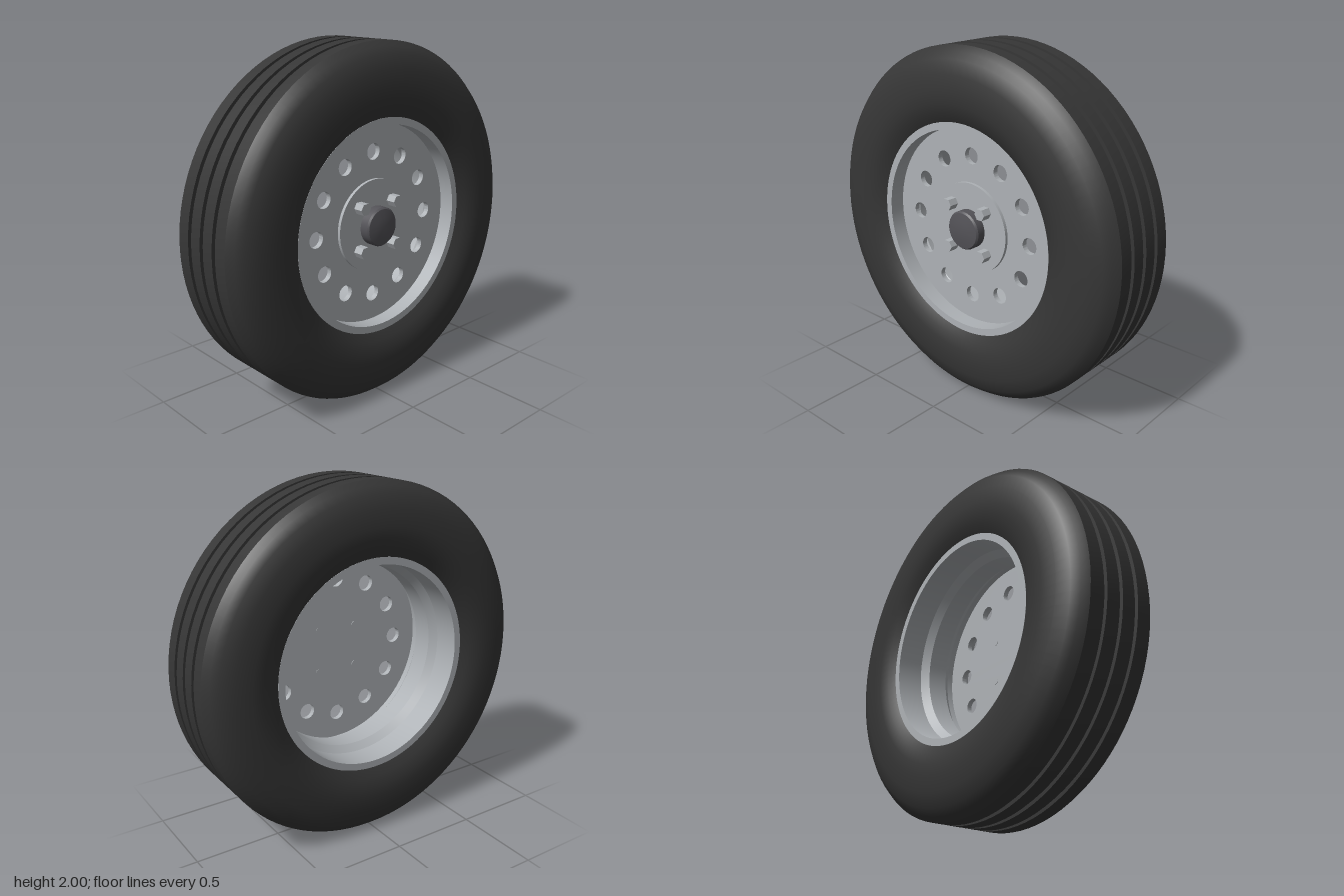
import * as THREE from 'three';
import { toCreasedNormals } from 'three/addons/utils/BufferGeometryUtils.js';

const material = (name, color) => {
  const m = new THREE.MeshStandardMaterial({ color });
  m.name = name;
  return m;
};

export function createModel() {
  const rubber = material('black rubber', 0x363636);
  const metal = material('grey metal', 0xaeb2b6);
  const dark = material('dark cap', 0x545358);

  const wheel = new THREE.Group();
  wheel.name = 'wheel';
  wheel.position.y = 1;

  const add = (name, geometry, mat, x = 0, y = 0, z = 0) => {
    const mesh = new THREE.Mesh(toCreasedNormals(geometry, 0.6), mat);
    mesh.name = name;
    mesh.position.set(x, y, z);
    wheel.add(mesh);
    return mesh;
  };
  // Revolve [radius, x] points around the axle (the x axis)
  const revolve = (points, segments = 96) =>
    new THREE.LatheGeometry(points.map(([r, x]) => new THREE.Vector2(r, x)), segments).rotateZ(-Math.PI / 2);
  const mirrored = (half) => half.map(([r, x]) => [r, -x]).reverse();

  // Tyre: rounded sidewalls, flat tread with three grooves
  const sidewall = [
    [1, 0.2], [0.972, 0.237], [0.935, 0.267], [0.86, 0.291], [0.77, 0.3],
    [0.71, 0.297], [0.65, 0.28], [0.602, 0.252],
  ];
  const grooves = [-0.105, 0, 0.105].flatMap((x) => [
    [1, x - 0.014], [0.98, x - 0.014], [0.98, x + 0.014], [1, x + 0.014],
  ]);
  add('tyre', revolve([...mirrored(sidewall), ...grooves, ...sidewall]), rubber);

  // Rim: flat lips and a barrel with a dropped centre
  const barrel = [[0.53, 0.06], [0.565, 0.1], [0.565, 0.255], [0.605, 0.255]];
  const inside = [...mirrored(barrel), ...barrel].reverse();
  add('rim', revolve([[0.605, -0.255], ...inside]), metal);

  // Wheel disc with a ring of twelve round holes
  const shape = new THREE.Shape().absarc(0, 0, 0.568, 0, Math.PI * 2);
  for (let i = 0; i < 12; i++) {
    const a = (i * Math.PI) / 6;
    shape.holes.push(new THREE.Path().absarc(0.41 * Math.cos(a), 0.41 * Math.sin(a), 0.046, 0, Math.PI * 2, true));
  }
  const disc = new THREE.ExtrudeGeometry(shape, { depth: 0.03, bevelEnabled: false, curveSegments: 40 });
  add('wheelDisc', disc.rotateY(Math.PI / 2), metal, 0.135);

  // Raised hub plate
  add('hubPlate', revolve([[0.26, 0.16], [0.26, 0.183], [0, 0.183]], 64), metal);

  // Slightly domed centre cap
  add('centreCap', revolve([[0.11, 0.18], [0.11, 0.232], [0.102, 0.242], [0.055, 0.25], [0, 0.253]], 48), dark);

  // Four hexagonal nuts with their stud ends behind the disc
  for (const y of [-0.123, 0.123]) {
    for (const z of [-0.123, 0.123]) {
      add('wheelNut', new THREE.CylinderGeometry(0.035, 0.035, 0.06, 6).rotateZ(-Math.PI / 2), metal, 0.21, y, z);
      add('stud', new THREE.CylinderGeometry(0.016, 0.016, 0.02, 16).rotateZ(-Math.PI / 2), metal, 0.142, y, z);
    }
  }

  const model = new THREE.Group();
  model.name = 'wheelAndTyre';
  model.add(wheel);
  return model;
}
